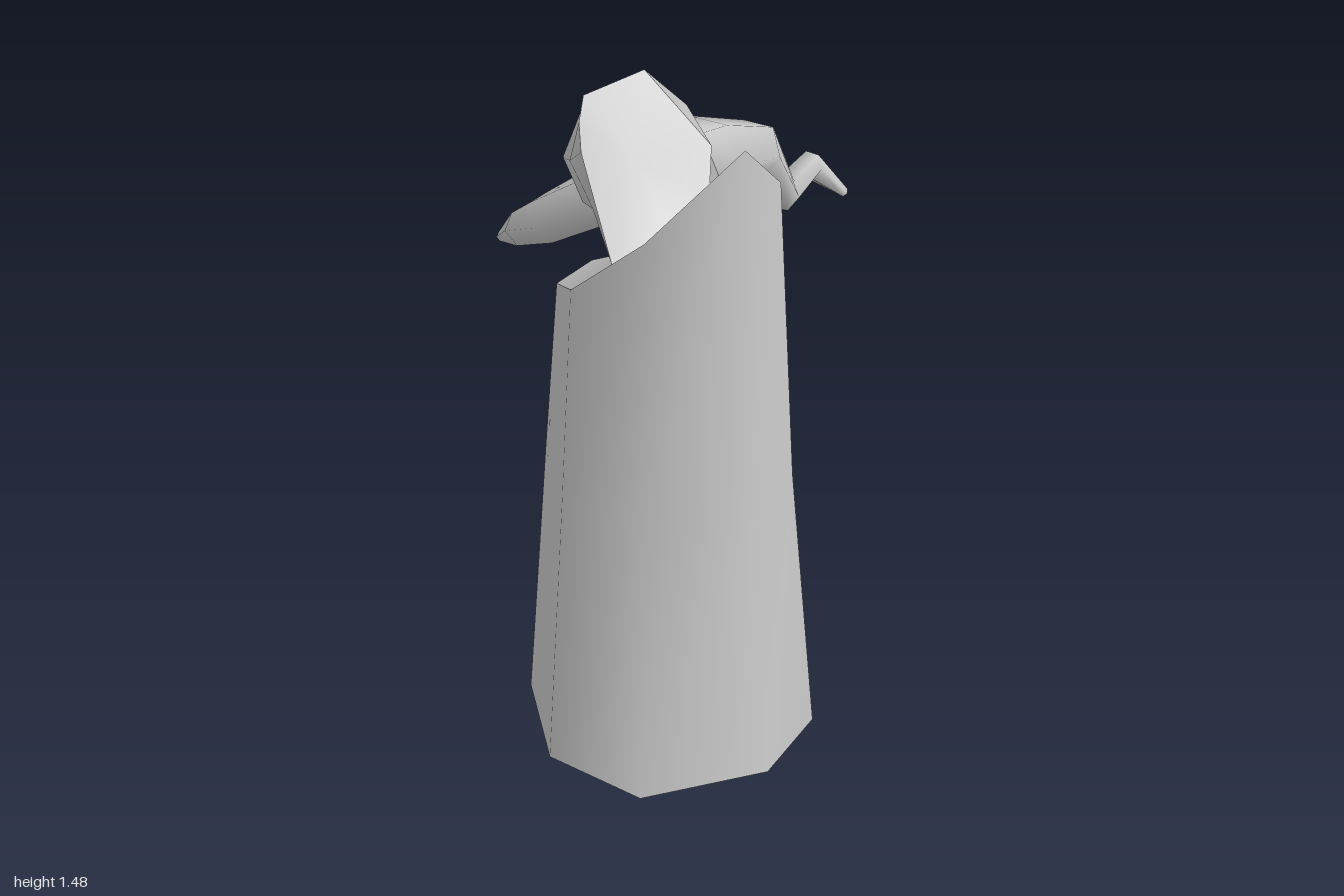
import * as THREE from 'three';

const V = (p) => new THREE.Vector3(...p);

// Skin a list of equal-sized rings (counter-clockwise seen from the first end), closing both ends with flat caps
function skin(rings) {
  const n = rings[0].length, pos = [], idx = [];
  rings.forEach((r) => r.forEach((p) => pos.push(p.x, p.y, p.z)));
  for (let i = 0; i < rings.length - 1; i++) {
    for (let j = 0; j < n; j++) {
      const a = i * n + j, b = i * n + (j + 1) % n;
      idx.push(a, a + n, b, b, a + n, b + n);
    }
  }
  const cap = (ring, flip) => {
    const start = pos.length / 3;
    const mid = ring.reduce((s, p) => s.add(p), new THREE.Vector3()).divideScalar(n);
    [...ring, mid].forEach((p) => pos.push(p.x, p.y, p.z));
    for (let j = 0; j < n; j++) {
      const a = start + j, b = start + (j + 1) % n;
      idx.push(start + n, flip ? b : a, flip ? a : b);
    }
  };
  cap(rings[0], false);
  cap(rings[rings.length - 1], true);
  const g = new THREE.BufferGeometry();
  g.setAttribute('position', new THREE.Float32BufferAttribute(pos, 3));
  g.setIndex(idx);
  g.computeVertexNormals();
  return g;
}

// Rings around a path of [x, y, z, radius] points
function limbRings(path, sides) {
  const pts = path.map((p) => V(p.slice(0, 3)));
  return pts.map((c, i) => {
    const before = pts[Math.max(i - 1, 0)], after = pts[Math.min(i + 1, pts.length - 1)];
    const t = after.clone().sub(before).normalize();
    const side = t.clone().cross(new THREE.Vector3(0, 1, 0)).normalize();
    const up = side.clone().cross(t);
    return Array.from({ length: sides }, (_, k) => {
      const a = (k / sides) * Math.PI * 2, r = path[i][3];
      return c.clone().addScaledVector(side, r * Math.cos(a)).addScaledVector(up, r * Math.sin(a));
    });
  });
}

export function createModel() {
  const group = new THREE.Group();
  const material = new THREE.MeshStandardMaterial({ color: 0xcccccc, side: THREE.DoubleSide });
  const add = (name, rings) => {
    const mesh = new THREE.Mesh(skin(rings), material);
    mesh.name = name;
    group.add(mesh);
  };

  // Stump: eight-sided, tapering up to a slanted break
  const rim = [
    [0.49, 1.36, 0.70], [0.40, 1.06, 0.53], [0.26, 1.04, 0.53], [0.11, 1.07, 0.62],
    [0.10, 1.11, 0.77], [0.17, 1.18, 0.88], [0.32, 1.33, 0.92], [0.46, 1.48, 0.81],
  ].map(V);
  const base = [
    [0.575, 0.16, 0.68], [0.42, 0.16, 0.46], [0.22, 0.16, 0.46], [0.04, 0.16, 0.57],
    [0.03, 0.16, 0.77], [0.14, 0.16, 0.95], [0.34, 0.16, 1.0], [0.54, 0.16, 0.85],
  ].map(V);
  const middle = base.map((p, i) => p.clone().lerp(rim[i], 0.6).setY(0.74));
  add('stump', [rim, middle, base]);

  // Fallen trunk: splintered upper end, then a bent taper to the ground
  const splinter = [
    [0.32, 1.22, 0.58], [0.29, 1.27, 0.48], [0.15, 1.385, 0.45], [0.07, 1.37, 0.55],
    [0.10, 1.375, 0.65], [0.15, 1.39, 0.77], [0.22, 1.20, 0.81], [0.30, 1.20, 0.70],
  ].map(V);
  add('fallenTrunk', [splinter, ...limbRings([
    [0.13, 1.18, 0.42, 0.13],
    [0.02, 1.03, 0.19, 0.125],
    [-0.08, 0.82, -0.10, 0.10],
    [-0.12, 0.60, -0.40, 0.08],
    [-0.20, 0.41, -0.66, 0.055],
    [-0.32, 0.25, -0.80, 0.042],
    [-0.445, 0.012, -0.99, 0.012],
  ], 8)]);

  // Side branches
  const branches = {
    leftBranch: [
      [0.21, 1.19, 0.46, 0.09], [0.21, 1.13, 0.30, 0.08], [0.25, 1.05, 0.12, 0.062],
      [0.255, 0.835, -0.08, 0.036], [0.265, 0.82, -0.23, 0.03], [0.312, 0.707, -0.33, 0.011],
    ],
    rightBranch: [
      [-0.08, 0.73, -0.16, 0.07], [-0.16, 0.70, -0.17, 0.066], [-0.29, 0.61, -0.17, 0.057],
      [-0.385, 0.515, -0.25, 0.042], [-0.565, 0.275, -0.55, 0.012],
    ],
    lowerTwig: [
      [-0.18, 0.45, -0.54, 0.045], [-0.188, 0.36, -0.59, 0.04],
      [-0.18, 0.215, -0.665, 0.032], [-0.20, 0.103, -0.80, 0.012],
    ],
  };
  for (const [name, path] of Object.entries(branches)) add(name, limbRings(path, 6));

  return group;
}
